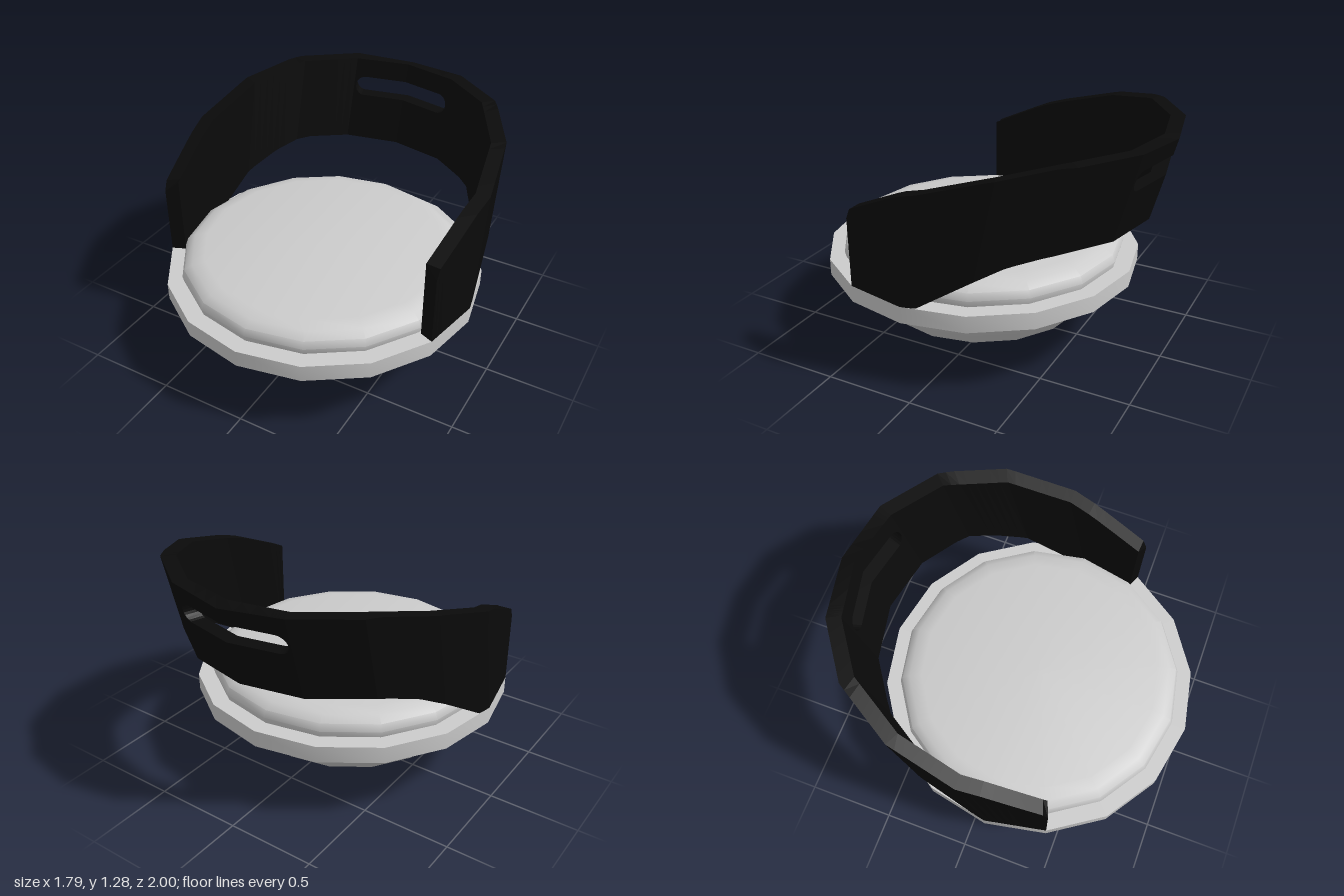
import * as THREE from 'three';
import { toCreasedNormals } from 'three/addons/utils/BufferGeometryUtils.js';

const SIDES = 16, CENTRE_Z = 0.105, BASE_Y = 0.48;
const OUTER = 0.895, INNER = 0.815;

const grey = new THREE.MeshStandardMaterial({ color: 0xcccccc });
const black = new THREE.MeshStandardMaterial({ color: 0x0a0a0a, flatShading: true });

// Sixteen-sided turned part about the seat axis
function turned(name, profile) {
  const points = profile.map(([r, y]) => new THREE.Vector2(r, y));
  const mesh = new THREE.Mesh(toCreasedNormals(new THREE.LatheGeometry(points, SIDES), 0.63), grey);
  mesh.name = name;
  mesh.position.z = CENTRE_Z;
  return mesh;
}

// Piecewise-linear lookup through [position, value] knots
function lookup(knots, p) {
  if (p <= knots[0][0]) return knots[0][1];
  for (let i = 1; i < knots.length; i++) {
    const [p0, v0] = knots[i - 1], [p1, v1] = knots[i];
    if (p <= p1) return THREE.MathUtils.lerp(v0, v1, (p - p0) / (p1 - p0));
  }
  return knots[knots.length - 1][1];
}

// Side outline of the backrest: height of its edges by z
const topEdge = [[-1, 1.27], [-0.93, 1.285], [-0.66, 1.28], [-0.37, 1.215], [0.11, 1.07], [0.425, 0.925], [0.447, 0.87]];
const bottomEdge = [[-0.6, 0.81], [-0.42, 0.755], [-0.28, 0.68], [0.025, BASE_Y]];
// Backward lean by number of facets from the middle of the back
const lean = [[0, 0.265], [1, 0.26], [2, 0.245], [3, 0.22], [4, 0.2], [5, 0]];

// Point of the leaning ring; t counts facets from the middle of the back
function ringPoint(t, r, y) {
  const i = Math.floor(t), f = t - i, step = (2 * Math.PI) / SIDES;
  const x = THREE.MathUtils.lerp(Math.sin(i * step), Math.sin((i + 1) * step), f);
  const z = THREE.MathUtils.lerp(Math.cos(i * step), Math.cos((i + 1) * step), f);
  return [r * x, y, CENTRE_Z - r * z - lookup(lean, Math.abs(t)) * (y - BASE_Y)];
}

// Point where the leaning ring meets an edge outline
function edgePoint(knots, t, r) {
  let y = BASE_Y;
  for (let k = 0; k < 15; k++) y = lookup(knots, ringPoint(t, r, y)[2]);
  return ringPoint(t, r, y);
}

function backrestGeometry() {
  const slotEnd = 0.962, slotRound = 0.176, slotY = 1.125, slotHalf = 0.055;
  const slotHeight = (t) => {
    const d = Math.max(0, (Math.abs(t) - slotEnd + slotRound) / slotRound);
    return slotHalf * Math.sqrt(Math.max(0, 1 - d * d));
  };

  // Columns from the middle of the back to one front end, then mirrored
  const half = [0, 0.25, 0.5];
  for (let k = 0; k <= 6; k++) half.push(slotEnd - slotRound * (1 - Math.sin((k * Math.PI) / 12)));
  for (let t = 1; t < 5; t += 0.125) half.push(t);
  half.push(4.94, 5);
  const columns = [...half.slice(1).reverse().map((t) => -t), ...half];

  const low = (t, r) => edgePoint(bottomEdge, t, r);
  const high = (t, r) => edgePoint(topEdge, t, r);
  const slotLow = (t, r) => ringPoint(t, r, slotY - slotHeight(t));
  const slotHigh = (t, r) => ringPoint(t, r, slotY + slotHeight(t));

  const positions = [];
  const quad = (a, b, c, d) => positions.push(...a, ...b, ...c, ...a, ...c, ...d);

  for (let n = 0; n < columns.length - 1; n++) {
    const t0 = columns[n], t1 = columns[n + 1];
    const inSlot = Math.abs(t0 + t1) / 2 < slotEnd;
    const bands = inSlot ? [[low, slotLow], [slotHigh, high]] : [[low, high]];
    for (const [lo, hi] of bands) {
      const [a, b, c, d] = [lo(t0, OUTER), hi(t0, OUTER), hi(t1, OUTER), lo(t1, OUTER)];
      const [e, f, g, h] = [lo(t0, INNER), hi(t0, INNER), hi(t1, INNER), lo(t1, INNER)];
      quad(a, b, c, d);
      quad(h, g, f, e);
      quad(b, f, g, c);
      quad(a, d, h, e);
      if (n === 0) quad(a, e, f, b);
      if (n === columns.length - 2) quad(d, c, g, h);
    }
  }
  const geometry = new THREE.BufferGeometry();
  geometry.setAttribute('position', new THREE.Float32BufferAttribute(positions, 3));
  geometry.computeVertexNormals();
  return geometry;
}

export function createModel() {
  const model = new THREE.Group();
  model.name = 'roundSeat';

  model.add(
    turned('pedestal', [[0, 0], [0.335, 0], [0.39, 0.04], [0.39, 0.1]]),
    turned('bowl', [[0, 0.09], [0.43, 0.09], [0.6, 0.145], [0.73, 0.29], [0.865, 0.386]]),
    turned('rim', [[0.8, 0.385], [OUTER, 0.385], [OUTER, BASE_Y], [0, BASE_Y]]),
    turned('cushion', [[0.8, 0.475], [0.81, 0.515], [0.795, 0.555], [0.75, 0.585], [0.68, 0.6], [0, 0.602]]),
  );

  const backrest = new THREE.Mesh(backrestGeometry(), black);
  backrest.name = 'backrest';
  model.add(backrest);
  return model;
}
